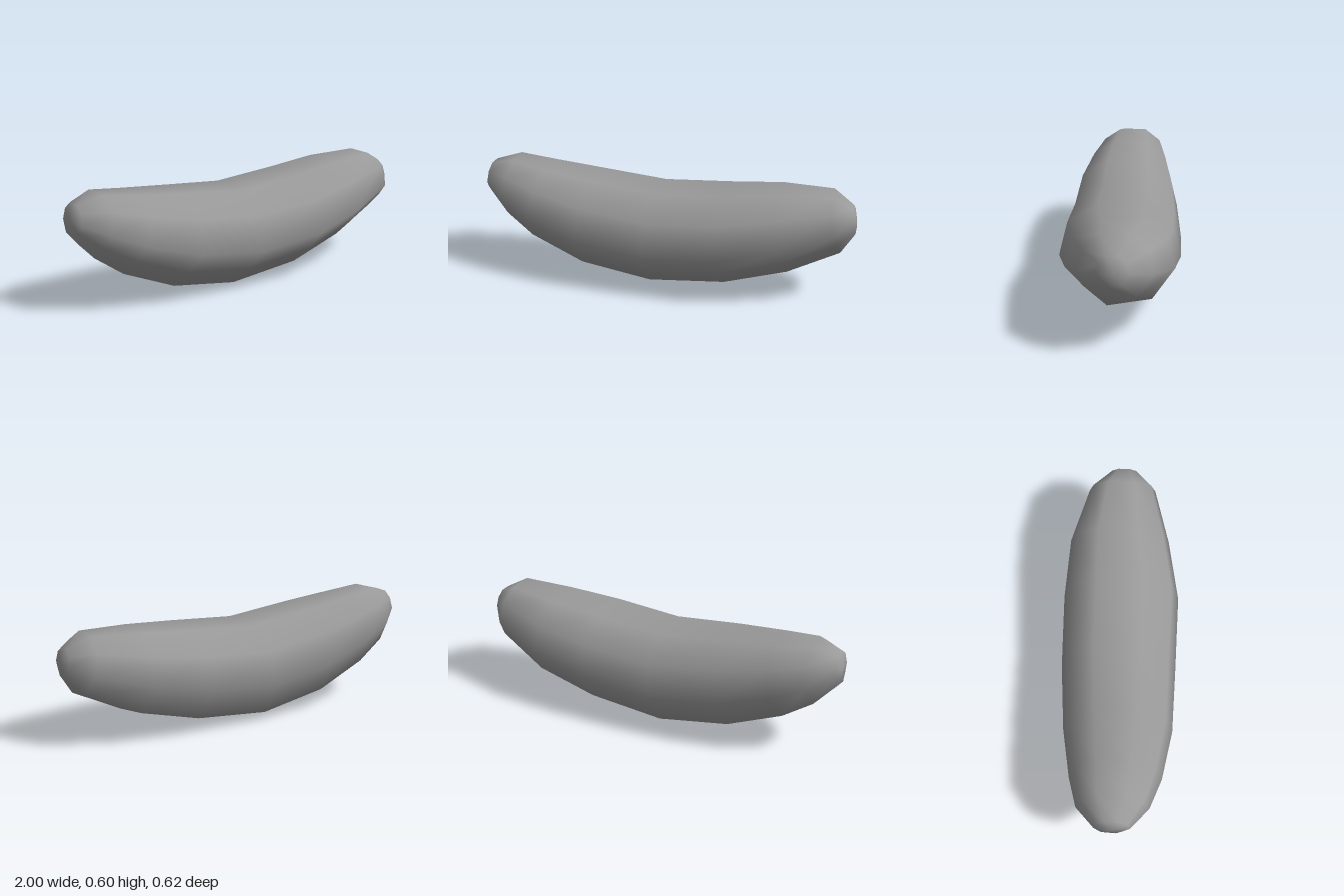
import * as THREE from 'three';

// Rings along the body: [top x, top y, bottom x, bottom y, half width, centre z]
const rings = [
  [-0.98, 0.565, -1.0, 0.4, 0.09, -0.015],
  [-0.85, 0.6, -0.9, 0.285, 0.185, -0.015],
  [-0.66, 0.576, -0.75, 0.18, 0.237, -0.005],
  [-0.4, 0.547, -0.46, 0.06, 0.285, 0],
  [-0.04, 0.51, -0.08, 0.0, 0.305, -0.005],
  [0.32, 0.535, 0.33, 0.04, 0.31, 0],
  [0.6, 0.56, 0.66, 0.13, 0.268, -0.015],
  [0.87, 0.57, 0.93, 0.265, 0.18, -0.007],
  [0.98, 0.51, 1.0, 0.37, 0.075, 0],
];

// Unit cross-section, slightly irregular: [z, height]
const section = [
  [1, -0.12], [0.65, -0.57], [0.23, -1], [-0.59, -0.83], [-1, -0.12],
  [-0.87, 0.56], [-0.42, 1], [0.36, 1], [0.86, 0.59],
];

function loftBody() {
  const positions = [], indices = [];
  const n = section.length, last = (rings.length - 1) * n;

  for (const [tx, ty, bx, by, w, cz] of rings) {
    for (const [z, h] of section) {
      const t = (h + 1) / 2;
      positions.push(bx + (tx - bx) * t, by + (ty - by) * t, cz + z * w);
    }
  }
  // Centres of the two blunt ends
  const startCentre = positions.length / 3, endCentre = startCentre + 1;
  positions.push(-1, 0.48, -0.015, 1, 0.435, 0);

  for (let j = 0; j < n; j++) {
    const k = (j + 1) % n;
    for (let i = 0; i < last; i += n) {
      indices.push(i + j, i + k, i + n + j, i + k, i + n + k, i + n + j);
    }
    indices.push(startCentre, k, j, endCentre, last + j, last + k);
  }

  const geometry = new THREE.BufferGeometry();
  geometry.setAttribute('position', new THREE.Float32BufferAttribute(positions, 3));
  geometry.setIndex(indices);
  geometry.computeVertexNormals();
  return geometry;
}

export function createModel() {
  const group = new THREE.Group();
  group.name = 'curvedPod';
  const body = new THREE.Mesh(loftBody(), new THREE.MeshStandardMaterial({ color: 0x9a9a9a }));
  body.name = 'body';
  group.add(body);
  return group;
}
